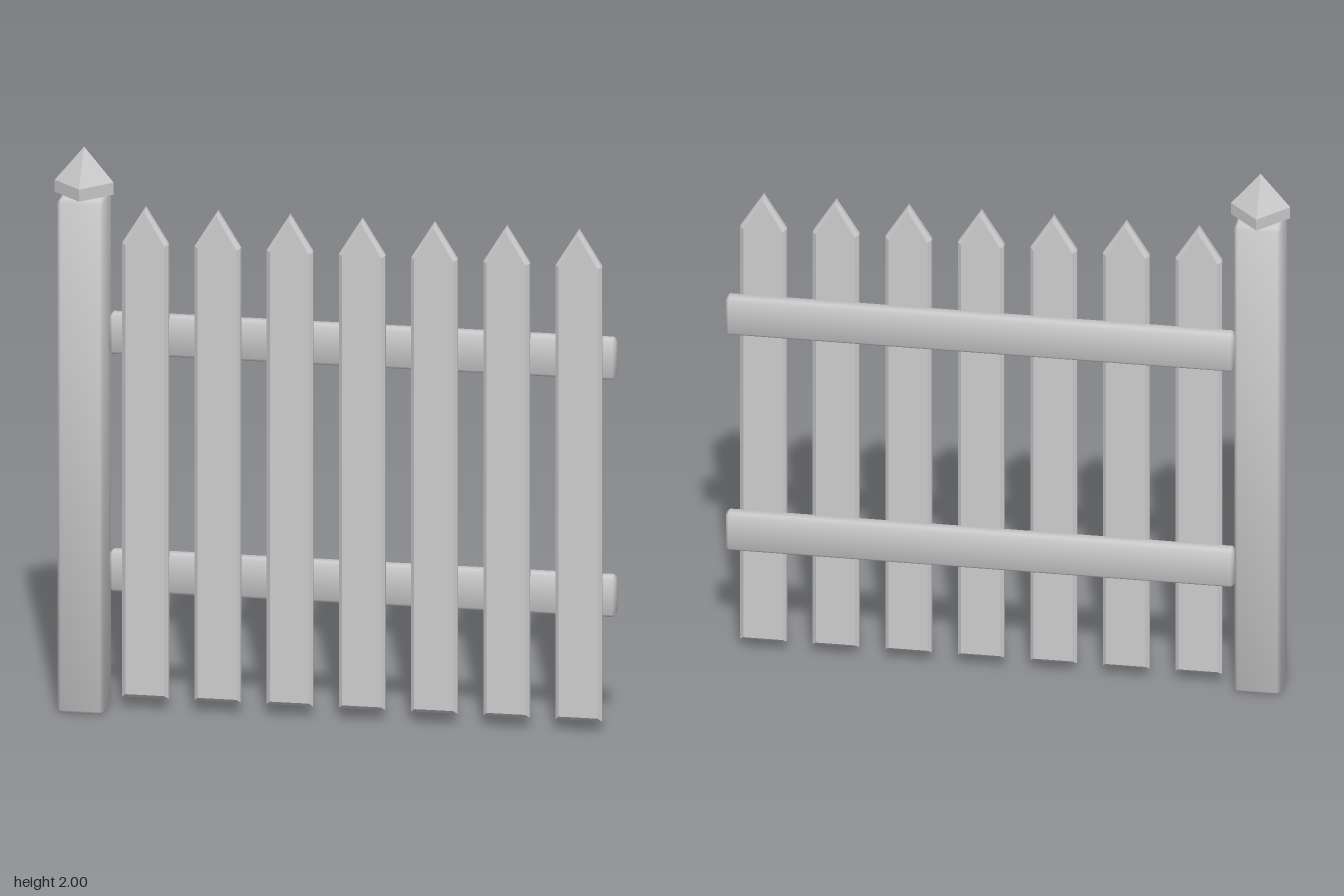
import * as THREE from 'three';
import { ConvexGeometry } from 'three/addons/geometries/ConvexGeometry.js';

// Chamfered box whose normals lean softly towards the edges
function softBox(w, h, d, bevel) {
  const half = [w / 2, h / 2, d / 2];
  const points = [];
  for (let axis = 0; axis < 3; axis++) {
    for (const sx of [-1, 1]) for (const sy of [-1, 1]) for (const sz of [-1, 1]) {
      const p = [sx, sy, sz].map((s, i) => s * (half[i] - (i === axis ? 0 : bevel)));
      points.push(new THREE.Vector3(...p));
    }
  }
  const geometry = new ConvexGeometry(points);
  const pos = geometry.attributes.position;
  for (let i = 0; i < pos.count; i++) {
    const p = [pos.getX(i), pos.getY(i), pos.getZ(i)];
    const n = p.map((v, k) => Math.sign(v) * (Math.abs(v) > half[k] - bevel / 2 ? 1 : 0.3));
    const v = new THREE.Vector3(...n).normalize();
    geometry.attributes.normal.setXYZ(i, v.x, v.y, v.z);
  }
  return geometry;
}

// Pointed board with chamfered edges, standing on y = 0
function picketGeometry(width, shoulder, tip, depth) {
  const b = 0.013;
  const x = width / 2 - b;
  const shape = new THREE.Shape();
  shape.moveTo(-x, b);
  shape.lineTo(x, b);
  shape.lineTo(x, shoulder - 0.005);
  shape.lineTo(0, tip - 0.02);
  shape.lineTo(-x, shoulder - 0.005);
  shape.closePath();
  const geometry = new THREE.ExtrudeGeometry(shape, {
    depth: depth - 2 * b, bevelEnabled: true, bevelSize: b, bevelThickness: b, bevelSegments: 1,
  });
  geometry.translate(0, 0, b);
  return geometry;
}

export function createModel() {
  const fence = new THREE.Group();
  fence.name = 'picketFence';
  const paint = new THREE.MeshStandardMaterial({ color: 0xcccccc });
  paint.name = 'light grey paint';

  const add = (name, geometry, x, y, z) => {
    const mesh = new THREE.Mesh(geometry, paint);
    mesh.name = name;
    mesh.position.set(x, y, z);
    fence.add(mesh);
  };

  // End post
  add('post', softBox(0.16, 1.83, 0.16, 0.012), -0.87, 0.915, 0);

  // Four-sided cap, turned so its corners face the axes
  const profile = [[0, 0], [0.102, 0], [0.102, 0.043], [0, 0.166]]
    .map(([r, y]) => new THREE.Vector2(r, y));
  const cap = new THREE.LatheGeometry(profile, 4).toNonIndexed();
  cap.computeVertexNormals();
  add('postCap', cap, -0.87, 1.834, 0);

  // Two rails behind the pickets
  for (const [name, y] of [['lowerRail', 0.481], ['upperRail', 1.327]]) {
    add(name, softBox(1.752, 0.145, 0.052, 0.011), 0.087, y, -0.054);
  }

  // Row of pickets
  const picket = picketGeometry(0.16, 1.62, 1.75, 0.042);
  for (let i = 0; i < 7; i++) add('picket' + (i + 1), picket, -0.661 + i * 0.25, 0.042, -0.044);

  return fence;
}
